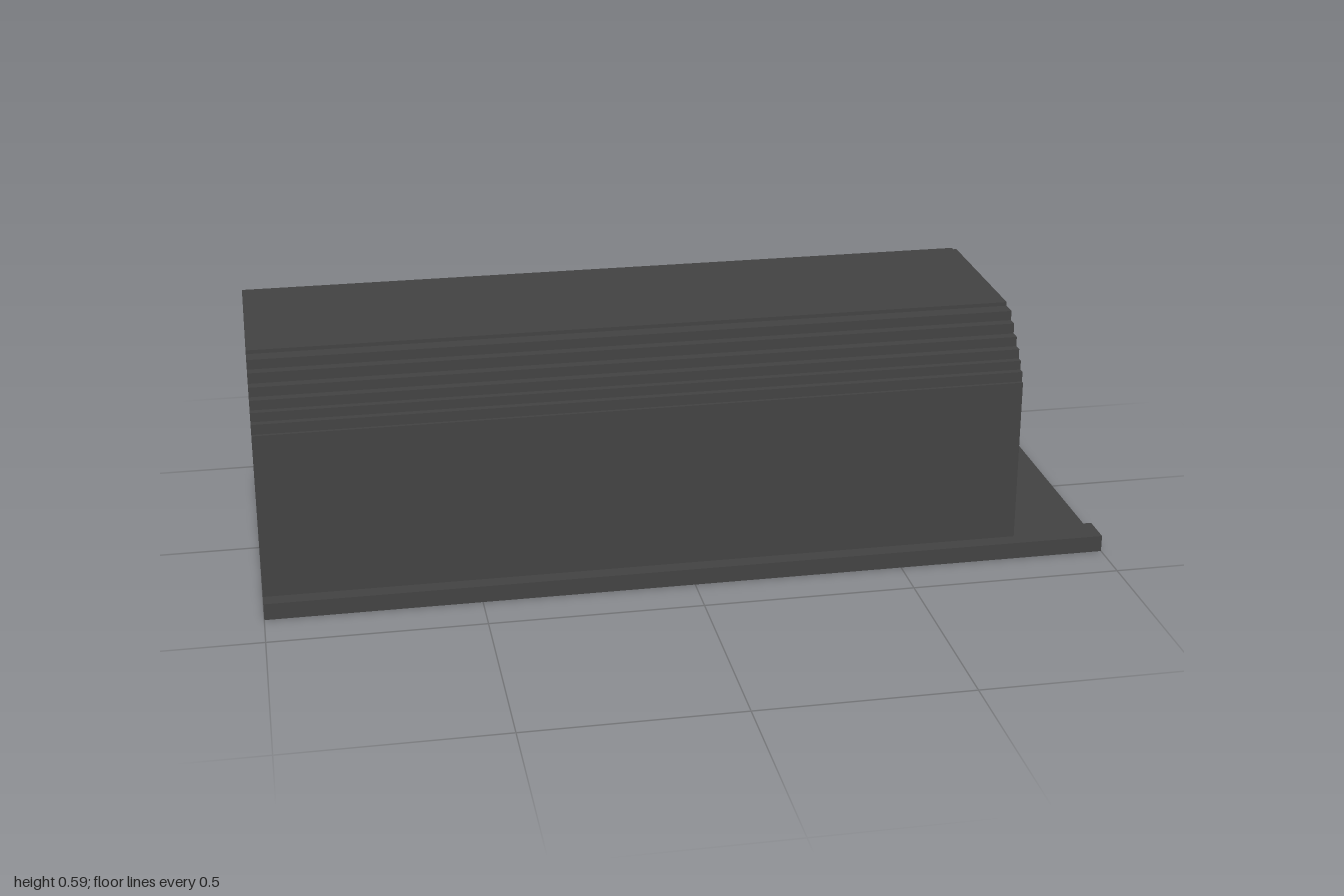
import * as THREE from 'three';

const BACK_X = -1, VAULT_END = 0.79, BASE_END = 1;
const CURB_TOP = 0.04, FLOOR_TOP = 0.015;
const WALL_IN = 0.313, WALL_OUT = 0.352, CURB_OUT = 0.39;

// Stair-stepped edges of the arch, as [half width, height reached]
const OUTER = [[WALL_OUT, 0.438], [0.344, 0.462], [0.328, 0.484], [0.312, 0.507],
  [0.29, 0.53], [0.266, 0.555], [0.242, 0.578], [0.204, 0.587]];
const INNER = [[WALL_IN, 0.422], [0.306, 0.447], [0.29, 0.47], [0.275, 0.494],
  [0.252, 0.516], [0.228, 0.54], [0.204, 0.548]];

// Turns the steps into a corner path from the curb up to the roof
function stepPath(steps) {
  let y = CURB_TOP;
  return steps.flatMap(([w, top]) => {
    const corners = [[w, y], [w, top]];
    y = top;
    return corners;
  });
}

// Full arch line from one foot over the roof to the other
function archLine(steps) {
  const half = stepPath(steps);
  return [...half, ...half.map(([w, y]) => [-w, y]).reverse()];
}

export function createModel() {
  const group = new THREE.Group();
  const darkGrey = new THREE.MeshStandardMaterial({ color: 0x424242 });
  darkGrey.name = 'darkGrey';

  const add = (name, geometry) => {
    const mesh = new THREE.Mesh(geometry, darkGrey);
    mesh.name = name;
    group.add(mesh);
    return mesh;
  };

  // Stepped vault: hollow arch extruded along the length
  const outline = [...archLine(OUTER), ...archLine(INNER).reverse()];
  const shape = new THREE.Shape(outline.map(([z, y]) => new THREE.Vector2(z, y)));
  const vault = new THREE.ExtrudeGeometry(shape, { depth: VAULT_END - BACK_X, bevelEnabled: false });
  vault.rotateY(Math.PI / 2).translate(BACK_X, 0, 0);
  add('vault', vault);

  // Thin floor between the curbs, running past the open end
  const length = BASE_END - BACK_X;
  add('floor', new THREE.BoxGeometry(length, FLOOR_TOP, WALL_IN * 2)).position.y = FLOOR_TOP / 2;

  // Raised curbs carrying the walls
  for (const side of [1, -1]) {
    const curb = add(side > 0 ? 'frontCurb' : 'backCurb',
      new THREE.BoxGeometry(length, CURB_TOP, CURB_OUT - WALL_IN));
    curb.position.set(0, CURB_TOP / 2, side * (CURB_OUT + WALL_IN) / 2);
  }
  return group;
}
